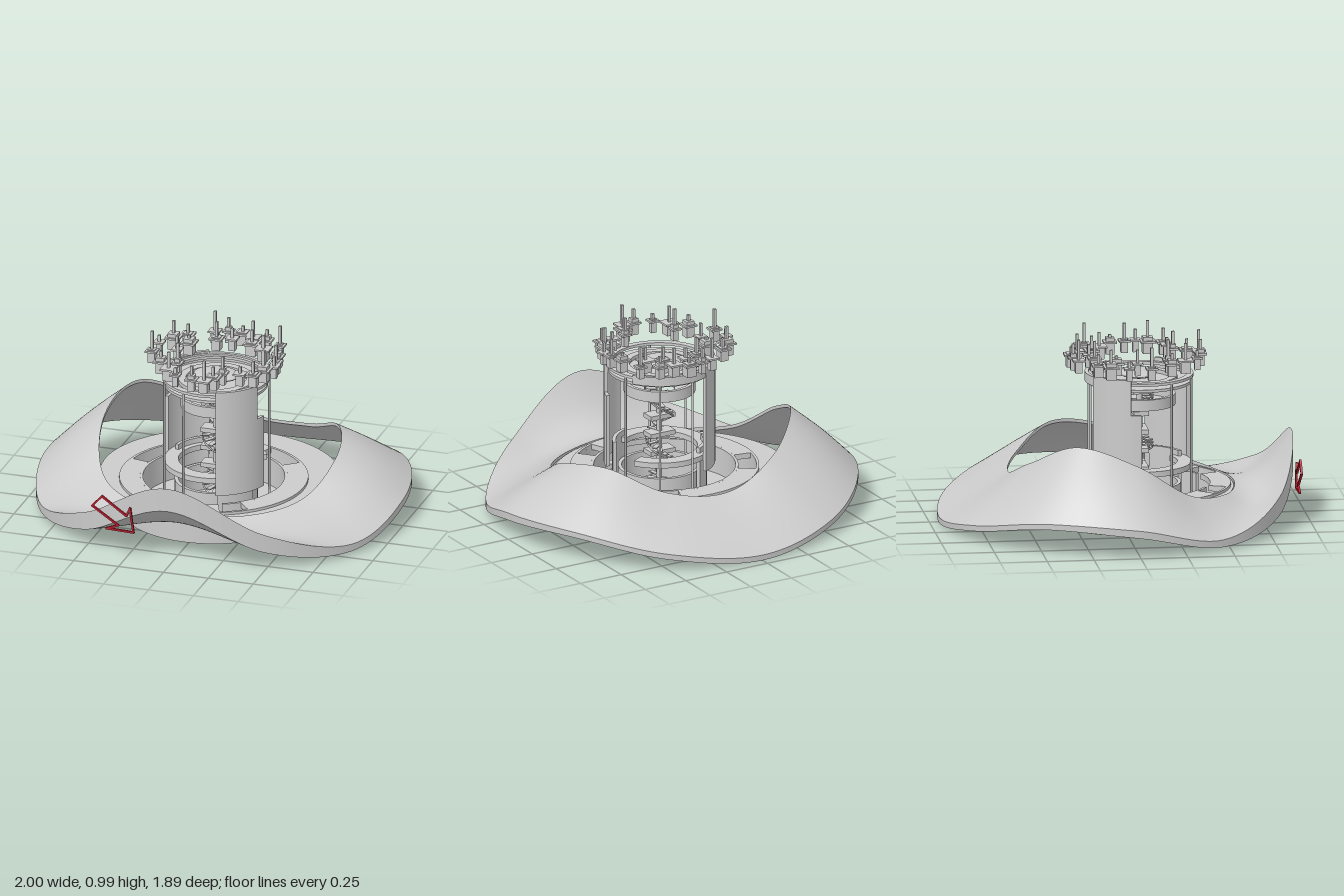
import * as THREE from 'three';
import { toCreasedNormals } from 'three/addons/utils/BufferGeometryUtils.js';

const grey = new THREE.MeshStandardMaterial({ color: 0xcccccc, side: THREE.DoubleSide });
const red = new THREE.MeshStandardMaterial({ color: 0xc02030, side: THREE.DoubleSide });
const rad = THREE.MathUtils.degToRad;

export function createModel() {
  const root = new THREE.Group();
  const add = (name, geo, x = 0, y = 0, z = 0, mat = grey, parent = root) => {
    const m = new THREE.Mesh(geo, mat);
    m.name = name;
    m.position.set(x, y, z);
    parent.add(m);
    return m;
  };

  // Ring sector standing on y0; angles in degrees from +x towards the front (+z)
  const sector = (name, r0, r1, a0, a1, y0, y1, cx, cz) => {
    const s = new THREE.Shape();
    if (a1 - a0 >= 360) {
      s.absarc(0, 0, r1, 0, Math.PI * 2);
      if (r0 > 0) s.holes.push(new THREE.Path().absarc(0, 0, r0, 0, Math.PI * 2, true));
    } else {
      s.absarc(0, 0, r1, rad(a0), rad(a1));
      s.absarc(0, 0, r0, rad(a1), rad(a0), true);
    }
    const g = new THREE.ExtrudeGeometry(s, { depth: y1 - y0, bevelEnabled: false, curveSegments: 32 });
    g.rotateX(Math.PI / 2);
    return add(name, toCreasedNormals(g, 0.6), cx, y1, cz);
  };

  // Smooth periodic lookup in a table with one value per 30 degrees
  const wave = (table, t) => {
    const n = table.length, f = (t / (Math.PI * 2)) * n, i = Math.floor(f), u = f - i;
    const [a, b, c, d] = [-1, 0, 1, 2].map(k => table[(i + k + n) % n]);
    return b + 0.5 * u * (c - a + u * (2 * a - 5 * b + 4 * c - d + u * (3 * (b - c) + d - a)));
  };

  // Wavy brim: a closed cross-section swept round, its heights read from angle tables
  const outerY = [0.12, 0.03, 0.11, 0.33, 0.11, 0.03, 0.12, 0.15, 0.07, 0.01, 0.07, 0.15];
  const outerT = [0.04, 0.04, 0.10, 0.13, 0.10, 0.04, 0.04, 0.03, 0.03, 0.03, 0.03, 0.03];
  const innerY = [0.36, 0.23, 0.19, 0.19, 0.19, 0.24, 0.43, 0.52, 0.39, 0.27, 0.30, 0.41];
  const bend = [0.02, 0, -0.03, -0.04, -0.03, 0, 0.02, 0.01, 0, 0, 0, 0.01];
  const NT = 144, NP = 14, pos = [], idx = [], row = 2 * NP + 3;
  for (let i = 0; i <= NT; i++) {
    const t = (i % NT) / NT * Math.PI * 2, c = Math.cos(t), s = Math.sin(t);
    const point = (u, top) => {
      const low = wave(innerY, t) * (1 - u) + wave(outerY, t) * u - 0.015 * (1 - u);
      const thick = 0.018 * (1 - u) + wave(outerT, t) * u * u + 0.018 * u * (1 - u);
      const y = low + wave(bend, t) * Math.sin(u * Math.PI) * 1.2 + (top ? thick : 0);
      const x0 = -0.01 + 0.645 * c, z0 = 0.02 + 0.6 * s;
      pos.push(x0 + (c - x0) * u, Math.max(y, 0.003), z0 + (-0.01 + 0.94 * s - z0) * u);
    };
    for (let j = 0; j <= NP; j++) point(j / NP, true);
    for (let j = NP; j >= 0; j--) point(j / NP, false);
    point(0, true);
  }
  for (let i = 0; i < NT; i++) for (let j = 0; j < row - 1; j++) {
    const a = i * row + j, c = a + row;
    idx.push(a, c, a + 1, a + 1, c, c + 1);
  }
  const brim = new THREE.BufferGeometry();
  brim.setAttribute('position', new THREE.Float32BufferAttribute(pos, 3));
  brim.setIndex(idx);
  add('wavyBrim', toCreasedNormals(brim, 0.6));

  // Round base: floor, wall and the deck that joins it to the brim
  const bx = -0.02, bz = 0.1;
  sector('baseFloor', 0, 0.5, 0, 360, 0.02, 0.05, bx, bz);
  sector('baseWall', 0.485, 0.5, 0, 360, 0.03, 0.2, bx, bz);
  const deck = new THREE.Shape().absellipse(-0.01, 0.02, 0.64, 0.595, 0, Math.PI * 2);
  deck.holes.push(new THREE.Path().absarc(bx, bz, 0.485, 0, Math.PI * 2, true));
  const deckGeo = new THREE.ExtrudeGeometry(deck, { depth: 0.015, bevelEnabled: false, curveSegments: 48 });
  deckGeo.rotateX(Math.PI / 2);
  add('deck', toCreasedNormals(deckGeo, 0.6), 0, 0.185, 0);
  for (const [a0, a1] of [[218, 290], [68, 110], [-40, 50], [130, 190]])
    sector('terrace', 0.39, 0.487, a0, a1, 0.17, 0.2, bx, bz);
  sector('innerWall', 0.375, 0.39, 115, 425, 0.05, 0.2, bx, bz);
  add('entranceCounter', new THREE.BoxGeometry(0.24, 0.03, 0.05), -0.02, 0.07, 0.53);

  // Tower: two opposite curved walls, narrower at the foot and at the top
  const cx = 0, cz = 0.12;
  for (const turn of [0, 172]) {
    sector('towerFoot', 0.23, 0.25, 20 + turn, 70 + turn, 0.05, 0.34, cx, cz);
    sector('towerWall', 0.275, 0.295, 13 + turn, 72 + turn, 0.22, 0.62, cx, cz);
    sector('towerWallTop', 0.275, 0.295, 24 + turn, 72 + turn, 0.62, 0.81, cx, cz);
  }
  for (const a of [110, 150, 262, 300, 340]) {
    const x = cx + 0.28 * Math.cos(rad(a)), z = cz + 0.28 * Math.sin(rad(a));
    add('post', new THREE.CylinderGeometry(0.006, 0.006, 0.74, 8), x, 0.42, z);
  }

  // Ring floors and the roof disc with its dome
  sector('lowerBowl', 0.2, 0.22, 0, 360, 0.05, 0.2, cx, cz);
  sector('lowerGallery', 0.2, 0.275, 60, 330, 0.28, 0.31, cx, cz);
  sector('middleGallery', 0.17, 0.19, 0, 360, 0.62, 0.68, cx, cz);
  sector('middleFloor', 0.08, 0.18, 0, 360, 0.62, 0.63, cx, cz);
  sector('upperFloor', 0, 0.275, 0, 360, 0.74, 0.755, cx, cz);
  sector('roofRing', 0.25, 0.285, 0, 360, 0.775, 0.79, cx, cz);
  sector('roofParapet', 0.27, 0.29, 200, 330, 0.75, 0.8, cx, cz);
  sector('roofStep', 0.16, 0.2, 0, 360, 0.755, 0.775, cx, cz);
  const dome = add('roofDome', new THREE.SphereGeometry(1, 24, 12), 0, 0.79, 0.11);
  dome.scale.set(0.125, 0.022, 0.1);

  // Spiral stair with its landings
  const helix = new THREE.CatmullRomCurve3(Array.from({ length: 40 }, (_, i) => {
    const a = i * 0.42;
    return new THREE.Vector3(cx + 0.07 * Math.cos(a), 0.06 + i * 0.0175, cz + 0.07 * Math.sin(a));
  }));
  add('spiralRail', new THREE.TubeGeometry(helix, 160, 0.005, 6));
  add('stairCore', new THREE.CylinderGeometry(0.015, 0.015, 0.7, 10), cx, 0.4, cz);
  for (let i = 0; i < 34; i++) {
    const step = add('stairTread', new THREE.BoxGeometry(0.07, 0.006, 0.025), 0, 0.08 + i * 0.0195, 0);
    const a = i * 0.47;
    step.position.x = cx + 0.04 * Math.cos(a);
    step.position.z = cz + 0.04 * Math.sin(a);
    step.rotation.y = -a;
  }
  for (const y of [0.28, 0.38, 0.48, 0.58, 0.7])
    add('landing', new THREE.BoxGeometry(0.15, 0.025, 0.08), cx, y, cz);

  // Floating crown: blocks, each with a plate and a mast
  const spots = [
    [-.35, .02], [-.3, -.07], [-.24, -.13], [-.12, -.22], [-.05, -.24], [.03, -.24], [.1, -.2], [.18, -.19],
    [.27, -.14], [.2, -.07], [.3, 0], [.32, .08], [.33, .14], [.29, .2], [.26, .28], [.19, .29], [.1, .31],
    [.07, .38], [.04, .44], [-.03, .44], [-.13, .41], [-.19, .34], [-.26, .26], [-.35, .14], [-.23, .08],
    [-.2, -.03], [-.08, -.13], [0, -.15], [-.17, .25], [.12, -.12]];
  spots.forEach(([x, z], i) => {
    const crown = new THREE.Group();
    crown.name = 'crownPiece';
    crown.position.set(x, 0, z);
    root.add(crown);
    const w = 0.03 + 0.008 * (i * 7 % 4), h = 0.06 + 0.015 * (i * 5 % 3), mast = 0.1 + 0.018 * (i * 3 % 5);
    add('block', new THREE.BoxGeometry(w, h, w), 0, 0.825 + h / 2, 0, grey, crown);
    add('plate', new THREE.BoxGeometry(w + 0.025, 0.01, w + 0.025), 0, 0.89, 0, grey, crown);
    add('mast', new THREE.BoxGeometry(0.015, mast, 0.015), 0, 0.83 + mast / 2, 0, grey, crown);
  });

  // Red outline arrow hung at the front lip
  const outline = [[-.42, .31], [-.365, .37], [-.23, .275], [-.21, .32], [-.19, .185], [-.34, .19], [-.275, .215]];
  const arrow = new THREE.Group();
  arrow.name = 'arrowSign';
  root.add(arrow);
  outline.forEach(([x, y], i) => {
    const [x2, y2] = outline[(i + 1) % outline.length];
    const bar = add('arrowBar', new THREE.BoxGeometry(Math.hypot(x2 - x, y2 - y) + 0.008, 0.01, 0.012),
      (x + x2) / 2, (y + y2) / 2, 0.93, red, arrow);
    bar.rotation.z = Math.atan2(y2 - y, x2 - x);
  });
  return root;
}
